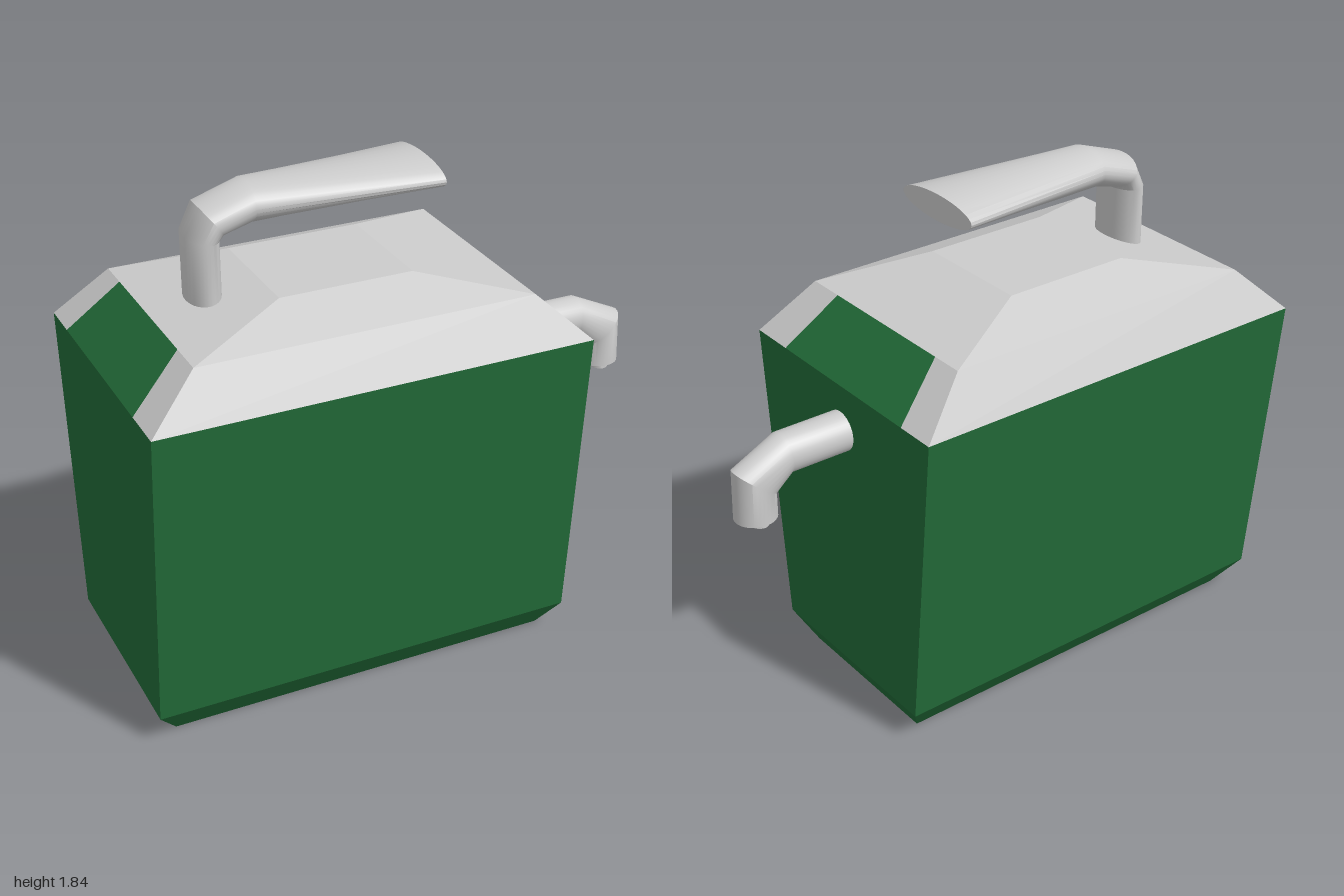
import * as THREE from 'three';
import { toCreasedNormals } from 'three/addons/utils/BufferGeometryUtils.js';

const GREEN = 0x226b38;
const GREY = 0xcccccc;

// Skin between rings of [x, y, z] points; keep(i) picks the side columns, caps close the ends
function loft(rings, { crease = 0.05, bottom = true, top = true, keep = () => true } = {}) {
  const n = rings[0].length;
  const index = [];
  for (let r = 0; r < rings.length - 1; r++) {
    for (let i = 0; i < n; i++) {
      if (!keep(i)) continue;
      const j = (i + 1) % n;
      const a = r * n + i, b = r * n + j, c = b + n, d = a + n;
      index.push(a, b, c, a, c, d);
    }
  }
  const last = (rings.length - 1) * n;
  for (let i = 1; i < n - 1; i++) {
    if (bottom) index.push(0, i + 1, i);
    if (top) index.push(last, last + i, last + i + 1);
  }
  const g = new THREE.BufferGeometry();
  g.setAttribute('position', new THREE.Float32BufferAttribute(rings.flat(2), 3));
  g.setIndex(index);
  return toCreasedNormals(g, crease);
}

// Rectangular ring, counter-clockwise from above
const rect = (y, x0, x1, z) => [[x1, y, z], [x1, y, -z], [x0, y, -z], [x0, y, z]];

// Same ring with two extra points on each end, marking the coloured panels
const panelRect = (y, x0, x1, z, front, back) => [
  [x1, y, z], [x1, y, front], [x1, y, back], [x1, y, -z],
  [x0, y, -z], [x0, y, back], [x0, y, front], [x0, y, z],
];

// Oval pipe given by its outer and inner edge and half width at each station
function pipe(stations, sides = 32) {
  const rings = stations.map(([ox, oy, ix, iy, w]) =>
    Array.from({ length: sides }, (_, k) => {
      const t = (k / sides) * Math.PI * 2, c = Math.cos(t) / 2;
      return [
        (ox + ix) / 2 + (ox - ix) * c,
        (oy + iy) / 2 + (oy - iy) * c,
        w * Math.sin(t),
      ];
    }));
  return loft(rings, { crease: 0.5 });
}

export function createModel() {
  const group = new THREE.Group();
  const add = (name, geometry, color = GREY) => {
    const mesh = new THREE.Mesh(geometry, new THREE.MeshStandardMaterial({ color }));
    mesh.name = name;
    group.add(mesh);
    return mesh;
  };

  // Tapered tank with a bevelled foot
  add('tank', loft([
    rect(0, -0.92, 0.515, 0.315),
    rect(0.115, -1, 0.577, 0.395),
    rect(1.255, -1, 0.577, 0.5),
  ], { top: false }), GREEN);

  // Sloping shoulder: grey, with a green panel on each end
  const shoulder = [
    panelRect(1.255, -1, 0.577, 0.5, 0.33, -0.35),
    panelRect(1.425, -0.82, 0.395, 0.41, 0.27, -0.29),
  ];
  const isPanel = (i) => i === 1 || i === 5;
  add('shoulder', loft(shoulder, { bottom: false, top: false, keep: (i) => !isPanel(i) }));
  add('endPanels', loft(shoulder, { bottom: false, top: false, keep: isPanel }), GREEN);

  // Shallow hipped lid
  add('lid', loft([
    rect(1.425, -0.82, 0.395, 0.41),
    rect(1.505, -0.45, 0.03, 0.22),
  ], { bottom: false }));

  // Bent handle widening to a flat oval grip
  add('handle', pipe([
    [-0.69, 1.42, -0.575, 1.42, 0.105],
    [-0.69, 1.68, -0.575, 1.67, 0.105],
    [-0.64, 1.78, -0.565, 1.678, 0.112],
    [-0.47, 1.84, -0.47, 1.7, 0.105],
    [0.17, 1.83, 0.17, 1.735, 0.188],
  ]));

  // Spout turning down at its end
  add('spout', pipe([
    [0.52, 1.155, 0.52, 1.01, 0.073],
    [0.815, 1.155, 0.8, 1.01, 0.073],
    [0.995, 1.07, 0.85, 0.955, 0.073],
    [1, 0.88, 0.85, 0.88, 0.073],
  ]));

  // Hollow oval nozzle under the spout
  const nozzle = add('nozzle', toCreasedNormals(new THREE.LatheGeometry(
    [[0.026, 0.02], [0.026, 0], [0.038, 0], [0.038, 0.03]].map(([x, y]) => new THREE.Vector2(x, y)),
    32), 0.5));
  nozzle.material.side = THREE.DoubleSide;
  nozzle.position.set(0.923, 0.86, 0);
  nozzle.scale.z = 1.45;

  return group;
}
